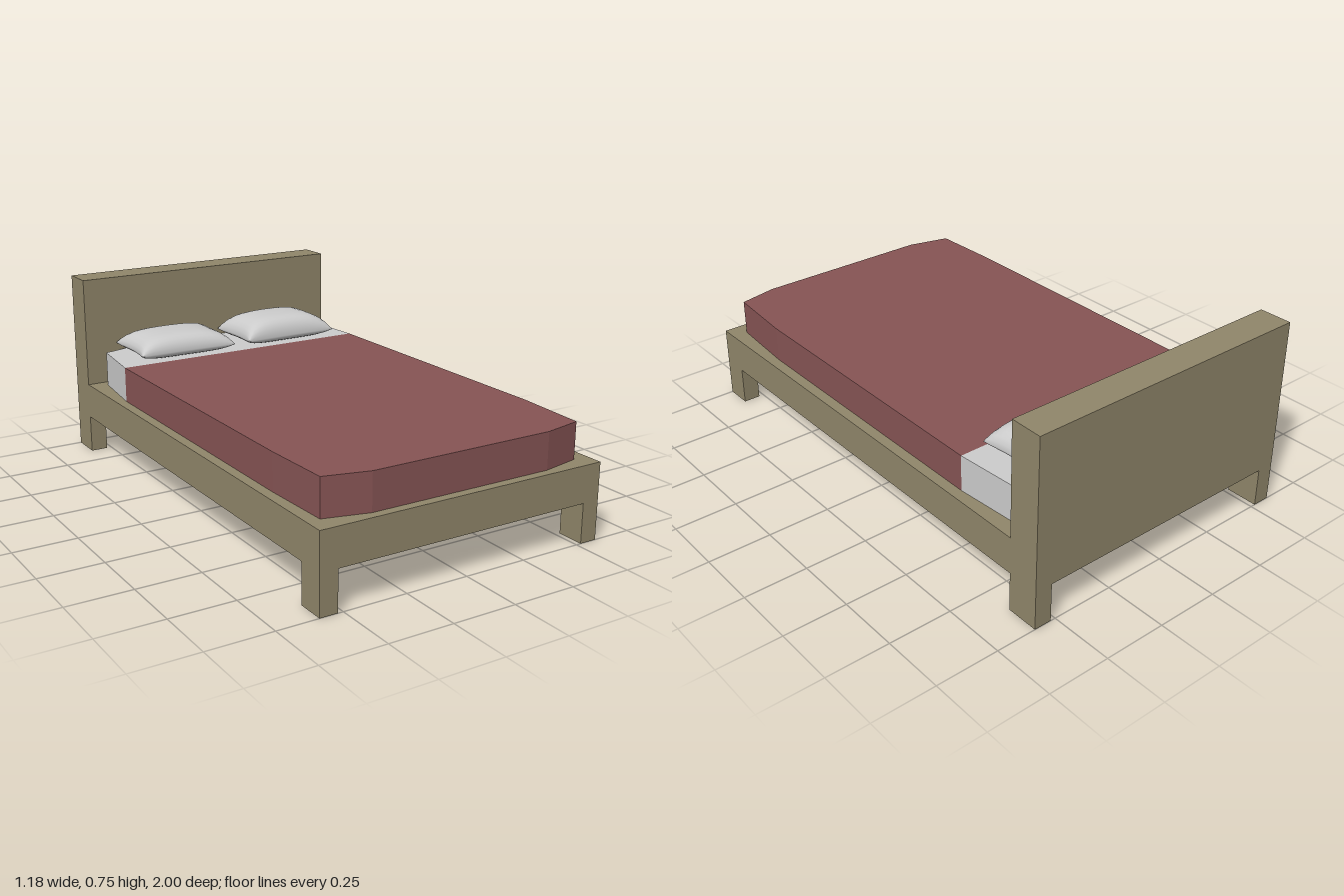
import * as THREE from 'three';
import { mergeGeometries, mergeVertices } from 'three/addons/utils/BufferGeometryUtils.js';

const wood = new THREE.MeshStandardMaterial({ color: 0x90866a });
const red = new THREE.MeshStandardMaterial({ color: 0x865454 });
const grey = new THREE.MeshStandardMaterial({ color: 0xcccccc });

function mesh(name, geometry, material) {
  const m = new THREE.Mesh(geometry, material);
  m.name = name;
  return m;
}

// Box given by its lower and upper corners
function box(name, [x0, y0, z0], [x1, y1, z1], material) {
  const g = new THREE.BoxGeometry(x1 - x0, y1 - y0, z1 - z0);
  g.translate((x0 + x1) / 2, (y0 + y1) / 2, (z0 + z1) / 2);
  return mesh(name, g, material);
}

// Upright slab from a floor outline of [x, z] points
function slab(name, outline, bottom, top, material) {
  const shape = new THREE.Shape(outline.map(([x, z]) => new THREE.Vector2(x, z)));
  const g = new THREE.ExtrudeGeometry(shape, { depth: top - bottom, bevelEnabled: false });
  g.rotateX(Math.PI / 2).translate(0, top, 0);
  return mesh(name, g, material);
}

// One cushion skin: pinched sides, pointed corners, full middle
function cushionSkin(width, depth, seam, height, sign) {
  const g = new THREE.PlaneGeometry(2, 2, 16, 16).rotateX(-sign * Math.PI / 2);
  g.deleteAttribute('normal');
  g.deleteAttribute('uv');
  const p = g.attributes.position;
  for (let i = 0; i < p.count; i++) {
    // Crowd the grid lines toward the seam
    const u = Math.sin(p.getX(i) * Math.PI / 2), v = Math.sin(p.getZ(i) * Math.PI / 2);
    const swell = Math.sqrt(Math.max(0, (1 - Math.abs(u) ** 5) * (1 - Math.abs(v) ** 5)));
    const dome = 0.8 + 0.2 * (1 - u * u) * (1 - v * v * 0.5);
    p.setXYZ(i,
      u * width / 2 * (1 - 0.08 * (1 - v * v) * Math.abs(u)),
      seam + sign * height * swell * (sign > 0 ? dome : 1),
      v * depth / 2 * (1 - 0.06 * (1 - u * u) * Math.abs(v)));
  }
  return g;
}

function pillow(name, x, z, width, depth, bottom, top, turn) {
  const seam = bottom + 0.03;
  const g = mergeVertices(mergeGeometries([
    cushionSkin(width, depth, seam, top - seam, 1),
    cushionSkin(width, depth, seam, seam - bottom, -1),
  ]), 1e-4);
  g.computeVertexNormals();
  const m = mesh(name, g, grey);
  m.position.set(x, 0, z);
  m.rotation.y = turn;
  return m;
}

export function createModel() {
  const bed = new THREE.Group();
  bed.name = 'bed';

  // Platform, headboard and legs
  bed.add(box('platform', [-0.59, 0.155, -0.87], [0.59, 0.3, 1], wood));
  bed.add(box('headboard', [-0.59, 0.155, -1], [0.59, 0.755, -0.87], wood));
  for (const s of [-1, 1]) {
    const x0 = s < 0 ? -0.59 : 0.52, x1 = x0 + 0.07;
    bed.add(box('frontLeg', [x0, 0, 0.89], [x1, 0.155, 1], wood));
    bed.add(box('backLeg', [x0, 0, -1], [x1, 0.155, -0.87], wood));
  }

  // Mattress end with the sheet showing, then the blanket over the rest
  bed.add(slab('mattress', [
    [-0.55, -0.56], [-0.52, -0.825], [-0.37, -0.868], [0.37, -0.868],
    [0.525, -0.835], [0.547, -0.56],
  ], 0.3, 0.443, grey));
  bed.add(slab('blanket', [
    [-0.55, -0.56], [0.547, -0.56], [0.547, 0.64], [0.527, 0.932],
    [0.37, 0.965], [-0.37, 0.965], [-0.54, 0.922], [-0.55, 0.64],
  ], 0.3, 0.443, red));

  // Two pillows, slightly askew
  bed.add(pillow('rightPillow', -0.247, -0.712, 0.43, 0.285, 0.443, 0.541, -0.02));
  bed.add(pillow('leftPillow', 0.245, -0.712, 0.43, 0.285, 0.443, 0.555, 0.015));
  return bed;
}
